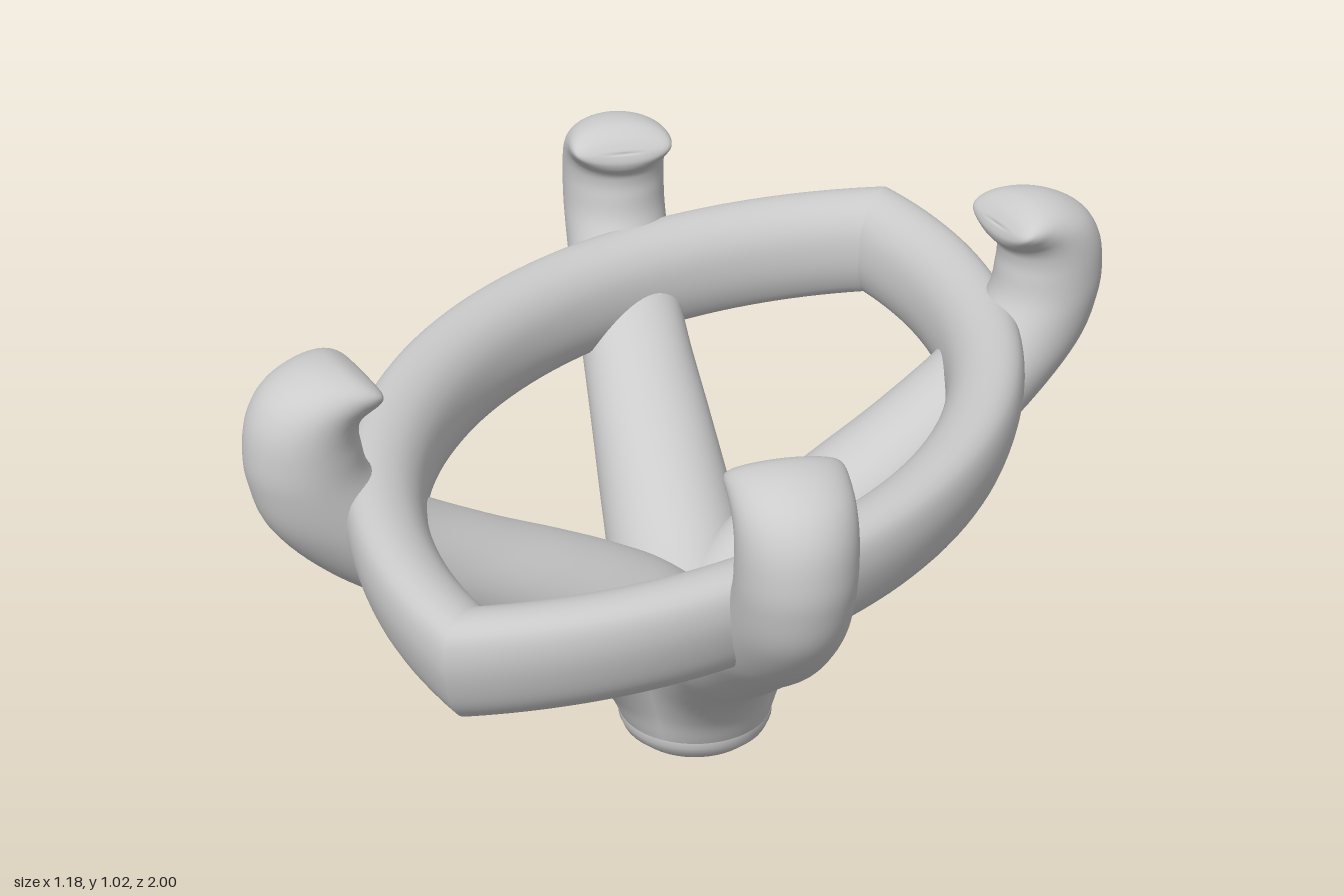
import * as THREE from 'three';

// Smooth skin over a grid of points: u runs along the part, v wraps around it.
function skin(nu, nv, pointAt) {
  const pos = [], idx = [];
  for (let i = 0; i <= nu; i++) {
    for (let j = 0; j < nv; j++) pos.push(...pointAt(i / nu, j / nv));
  }
  for (let i = 0; i < nu; i++) {
    for (let j = 0; j < nv; j++) {
      const a = i * nv + j, b = i * nv + (j + 1) % nv;
      idx.push(a, a + nv, b, b, a + nv, b + nv);
    }
  }
  const g = new THREE.BufferGeometry();
  g.setAttribute('position', new THREE.Float32BufferAttribute(pos, 3));
  g.setIndex(idx);
  g.computeVertexNormals();
  return g;
}

// Half of the pointed oval rail: a profile swept on an arc and mitred at x = 0.
function railHalf() {
  const offset = 0.555;
  const profile = new THREE.CatmullRomCurve3([
    [0.995, 0.69], [1.006, 0.745], [1.034, 0.782], [1.075, 0.8], [1.112, 0.797], [1.135, 0.778],
    [1.145, 0.735], [1.138, 0.68], [1.12, 0.632], [1.09, 0.6], [1.055, 0.59], [1.02, 0.6], [1.0, 0.64],
  ].map(([r, y]) => new THREE.Vector3(r, y, 0)), true);
  return skin(64, 52, (u, v) => {
    const p = profile.getPoint(v);
    const t = (2 * u - 1) * Math.acos(offset / p.x);
    return [p.x * Math.cos(t) - offset, p.y, p.x * Math.sin(t)];
  });
}

// Prong: oval sections spanning an inner and an outer edge line.
function prongGeometry() {
  // inner distance, inner height, outer distance, outer height, half width
  const rows = [
    [-0.152, 0.072, 0.152, 0.072, 0.152],
    [-0.125, 0.18, 0.183, 0.135, 0.148],
    [-0.065, 0.29, 0.24, 0.205, 0.143],
    [0.04, 0.395, 0.333, 0.285, 0.137],
    [0.14, 0.462, 0.45, 0.365, 0.13],
    [0.26, 0.527, 0.61, 0.485, 0.12],
    [0.41, 0.603, 0.765, 0.6, 0.11],
    [0.575, 0.7, 0.863, 0.71, 0.106],
    [0.668, 0.795, 0.896, 0.805, 0.105],
    [0.69, 0.865, 0.899, 0.875, 0.105],
    [0.692, 0.9, 0.885, 0.935, 0.105],
    [0.685, 0.917, 0.85, 0.982, 0.105],
    [0.674, 0.925, 0.79, 1.012, 0.105],
    [0.665, 0.935, 0.73, 1.017, 0.104],
    [0.66, 0.95, 0.69, 1.0, 0.094],
    [0.663, 0.965, 0.67, 0.979, 0.06],
    [0.667, 0.97, 0.667, 0.97, 0],
  ];
  const edge = (s, y) => new THREE.CatmullRomCurve3(rows.map(r => new THREE.Vector3(r[s], r[y], r[4])), false, 'catmullrom');
  const inner = edge(0, 1), outer = edge(2, 3);
  return skin(96, 48, (u, v) => {
    const a = inner.getPoint(u), b = outer.getPoint(u);
    const k = 0.5 + 0.5 * Math.cos(v * Math.PI * 2);
    return [a.x + (b.x - a.x) * k, a.y + (b.y - a.y) * k, a.z * Math.sin(v * Math.PI * 2)];
  });
}

export function createModel() {
  const group = new THREE.Group();
  const material = new THREE.MeshStandardMaterial({ color: 0xcccccc, side: THREE.DoubleSide });
  const add = (name, geometry, turn = 0) => {
    const mesh = new THREE.Mesh(geometry, material);
    mesh.name = name;
    mesh.rotation.y = turn;
    group.add(mesh);
  };

  // Pointed oval rail
  const rail = railHalf();
  add('leftRail', rail);
  add('rightRail', rail, Math.PI);

  // Four hooked prongs on the diagonals
  const prong = prongGeometry();
  const angle = Math.atan2(0.8, 0.6);
  add('frontLeftProng', prong, -angle);
  add('backLeftProng', prong, angle);
  add('frontRightProng', prong, Math.PI + angle);
  add('backRightProng', prong, Math.PI - angle);

  // Rounded foot where the prongs join
  const foot = [[0, 0], [0.05, 0.002], [0.09, 0.009], [0.125, 0.023], [0.145, 0.041], [0.153, 0.06], [0.153, 0.073]];
  add('foot', new THREE.LatheGeometry(foot.map(([r, y]) => new THREE.Vector2(r, y)), 48));

  return group;
}
